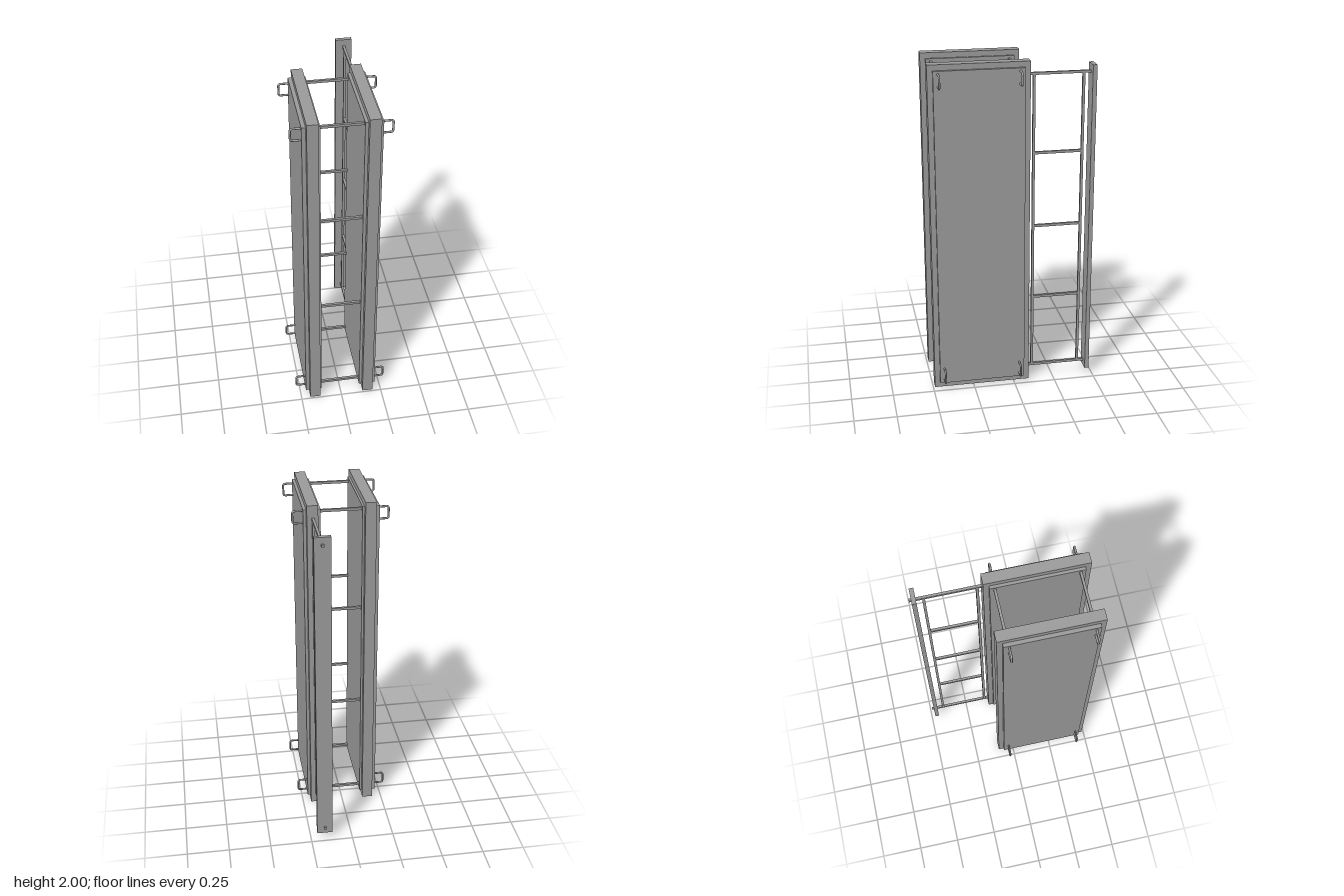
import * as THREE from 'three';

const material = new THREE.MeshStandardMaterial({ color: 0x9c9c9c });
const V = (x, y, z) => new THREE.Vector3(x, y, z);

function add(parent, name, geometry) {
  const mesh = new THREE.Mesh(geometry, material);
  mesh.name = name;
  parent.add(mesh);
  return mesh;
}

function box(parent, name, size, pos) {
  add(parent, name, new THREE.BoxGeometry(...size)).position.set(...pos);
}

// U-shaped grip standing out sideways, with rounded corners
function handle(parent, side, y, z) {
  const x0 = side * 0.205, x1 = side * 0.274, h = 0.036, r = 0.014;
  const xr = x1 - side * r;
  const path = new THREE.CurvePath();
  path.add(new THREE.LineCurve3(V(x0, y + h, z), V(xr, y + h, z)));
  path.add(new THREE.QuadraticBezierCurve3(V(xr, y + h, z), V(x1, y + h, z), V(x1, y + h - r, z)));
  path.add(new THREE.LineCurve3(V(x1, y + h - r, z), V(x1, y - h + r, z)));
  path.add(new THREE.QuadraticBezierCurve3(V(x1, y - h + r, z), V(x1, y - h, z), V(xr, y - h, z)));
  path.add(new THREE.LineCurve3(V(xr, y - h, z), V(x0, y - h, z)));
  add(parent, 'handle', new THREE.TubeGeometry(path, 60, 0.006, 10));
}

export function createModel() {
  const model = new THREE.Group();
  model.name = 'panelAssembly';

  // Two upright panels: core slab with a raised face on both sides, and four handles
  for (const side of [-1, 1]) {
    const panel = new THREE.Group();
    panel.name = side > 0 ? 'leftPanel' : 'rightPanel';
    const coreX = side > 0 ? 0.168 : -0.163;
    box(panel, 'panelCore', [0.064, 2, 0.585], [coreX, 1, 0.1965]);
    box(panel, 'panelFaces', [0.099, 1.934, 0.522], [side * 0.168, 1, 0.1965]);
    for (const y of [0.095, 1.914])
      for (const z of [-0.033, 0.43]) handle(panel, side, y, z);
    model.add(panel);
  }

  // Square tie bars between the panels
  const ties = new THREE.Group();
  ties.name = 'tieBars';
  for (const y of [0.065, 0.698, 1.33, 1.946])
    for (const z of [-0.036, 0.428])
      box(ties, 'tieBar', [0.3, 0.015, 0.015], [0, y, z]);
  model.add(ties);

  // Ladder frame of square bars behind the left panel
  const ladder = new THREE.Group();
  ladder.name = 'ladderFrame';
  const x = 0.166, t = 0.015;
  for (const y of [0.082, 1.921])
    box(ladder, 'longArm', [t, t, 0.409], [x, y, -0.2845]);
  for (const z of [-0.122, -0.411])
    box(ladder, 'rail', [t, 1.839, t], [x, 1.0015, z]);
  for (const y of [0.543, 1.003, 1.454])
    box(ladder, 'rung', [t, t, 0.289], [x, y, -0.2665]);
  box(ladder, 'endPlate', [0.094, 1.924, 0.025], [x, 1.004, -0.4645]);
  model.add(ladder);

  return model;
}
